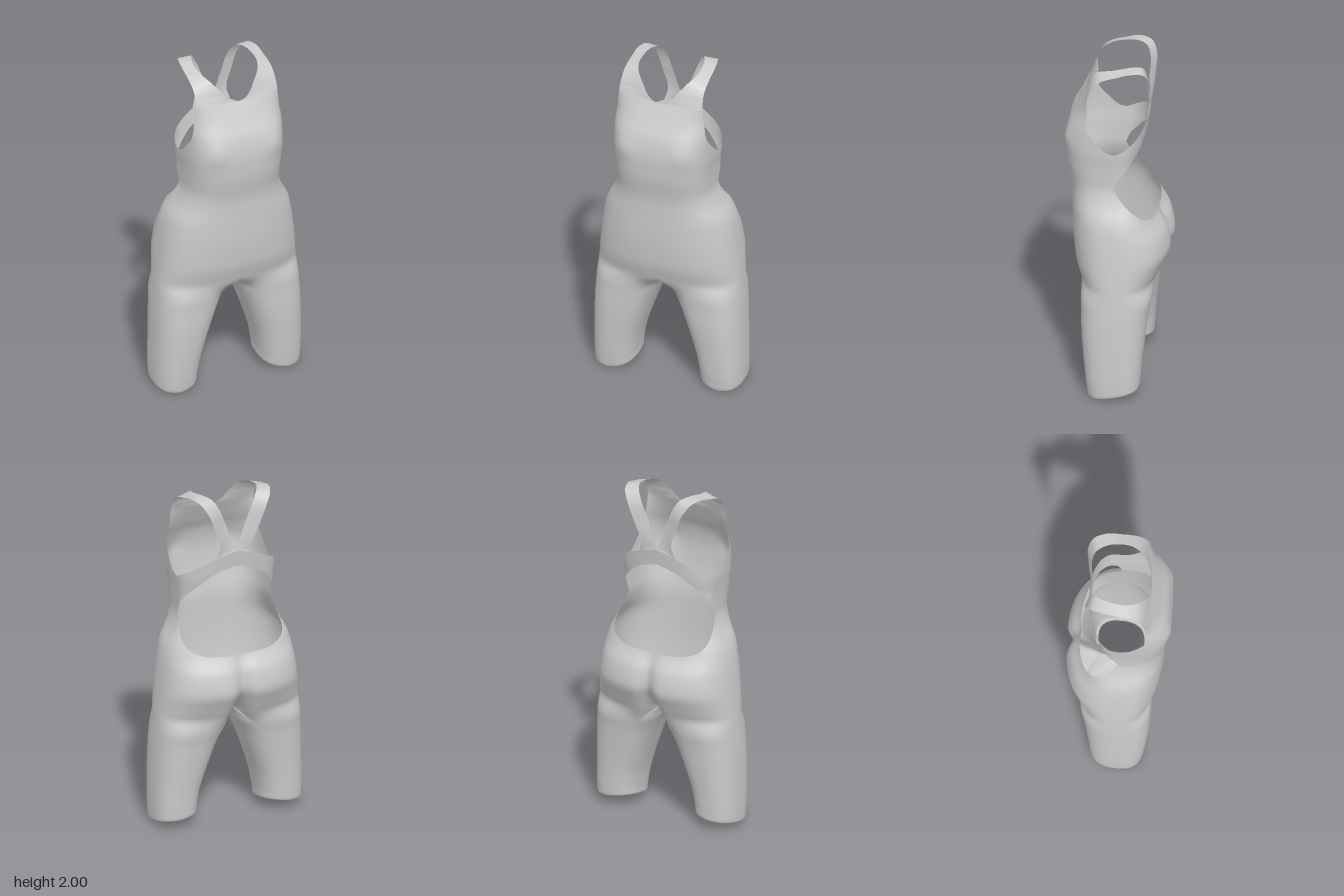
import * as THREE from 'three';
import { mergeVertices } from 'three/addons/utils/BufferGeometryUtils.js';

const { PI, sin, cos, abs, exp, sign } = Math;
const V = (x, y, z) => new THREE.Vector3(x, y, z);
const range = (n, f) => Array.from({ length: n + 1 }, (_, i) => f(i / n));

// Smooth monotone interpolation through [key, value] pairs
function table(...p) {
  const d = p.slice(1).map((q, i) => (q[1] - p[i][1]) / (q[0] - p[i][0]));
  const m = p.map((_, i) => {
    if (i === 0) return d[0];
    if (i === p.length - 1) return d[i - 1];
    return d[i - 1] * d[i] > 0 ? 2 * d[i - 1] * d[i] / (d[i - 1] + d[i]) : 0;
  });
  return (k) => {
    if (k <= p[0][0]) return p[0][1];
    if (k >= p[p.length - 1][0]) return p[p.length - 1][1];
    const i = p.findIndex((q) => q[0] > k) - 1;
    const h = p[i + 1][0] - p[i][0], s = (k - p[i][0]) / h, r = 1 - s;
    return p[i][1] * (1 + 2 * s) * r * r + m[i] * h * s * r * r
      + p[i + 1][1] * s * s * (3 - 2 * s) - m[i + 1] * h * s * s * r;
  };
}

// Torso outline by height: half width, front, back, depth of widest point, cleft, front roundness
const width = table([0.68, 0.428], [0.8, 0.415], [1, 0.387], [1.08, 0.368], [1.2, 0.305], [1.28, 0.284],
  [1.4, 0.286], [1.5, 0.293], [1.65, 0.294], [1.82, 0.28]);
const front = table([0.68, 0.205], [0.8, 0.24], [1, 0.257], [1.2, 0.26], [1.4, 0.29], [1.5, 0.295],
  [1.62, 0.276], [1.7, 0.235], [1.82, 0.175]);
const back = table([0.68, -0.232], [0.75, -0.265], [0.85, -0.302], [0.95, -0.285], [1.05, -0.228], [1.14, -0.195],
  [1.28, -0.14], [1.4, -0.135], [1.5, -0.152], [1.66, -0.172]);
const middle = table([0.68, -0.01], [1.2, 0], [1.5, 0], [1.7, 0.02], [1.82, 0.12]);
const cleft = table([0.68, 0.12], [0.75, 0.07], [0.85, 0.04], [1, 0.022], [1.08, 0]);
const roundness = table([0.68, 0.82], [1, 0.82], [1.28, 0.68], [1.5, 0.61], [1.82, 0.62]);

// Point on the half torso: t runs from front centre (0) by the side (0.5) to back centre (1)
function torso(t, y) {
  const a = PI * t, e = t < 0.5 ? roundness(y) : 0.78, c = middle(y);
  const x = width(y) * abs(sin(a)) ** e;
  const reach = abs(cos(a)) ** e;
  let z = t < 0.5 ? c + (front(y) - c) * reach : c + (back(y) - c) * reach;
  if (t > 0.5) z += cleft(y) * exp(-((x / 0.05) ** 2));
  else z += 0.014 * exp(-(((x - 0.18) / 0.06) ** 2) - ((y - 1.55) / 0.06) ** 2);
  return V(t === 0 || t === 1 ? 0 : x, y, z);
}

// Edges of the openings
const WAIST = 1.28, CROTCH = 0.68, NECK = 1.815, ARM = 0.33;
const armFront = new THREE.SplineCurve([[ARM, NECK], [0.333, 1.755], [0.347, 1.69], [0.385, 1.625], [0.44, 1.57],
  [0.48, 1.52], [0.5, 1.5]].map((p) => new THREE.Vector2(...p)));
const armBack = table([0.5, 1.5], [0.6, 1.53], [0.7, 1.56], [0.8, 1.592], [0.9, 1.63], [1, 1.665]);
const holeLow = table([0.5, WAIST], [0.524, 1.24], [0.56, 1.205], [0.64, 1.15], [0.77, 1.085], [0.88, 1.058], [1, 1.05]);
const holeHigh = table([0.5, WAIST], [0.525, 1.33], [0.64, 1.395], [0.8, 1.477], [0.9, 1.535], [1, 1.57]);

// Shared columns as [t, upper edge]
const frontCols = [...range(14, (u) => [u * ARM, NECK]), ...range(18, (u) => {
  const p = armFront.getPoint(u);
  return [p.x, p.y];
}).slice(1)];
const backCols = range(30, (u) => [u === 1 ? 1 : 0.5 + 0.5 * sin(u * PI / 2), 0]);
const allT = [...frontCols, ...backCols.slice(1)].map((c) => c[0]);

// Column of torso points between two heights
const column = (t, y0, y1, n) => range(n, (v) => torso(t, y0 + (y1 - y0) * v));

const lowerTorso = () => allT.map((t) => column(t, CROTCH, t <= 0.5 ? WAIST : holeLow(t), 22));
const chest = () => frontCols.map(([t, top]) => column(t, WAIST, top, 18));
const backBand = () => backCols.map(([t]) => column(t, holeHigh(t), armBack(t), 18));

// Leg outline by height
const legRings = [ // y, inner x, outer x, front z, back z
  [0.035, 0.212, 0.432, 0.12, -0.138], [0.03, 0.2, 0.445, 0.133, -0.15], [0.08, 0.195, 0.45, 0.145, -0.157],
  [0.2, 0.175, 0.45, 0.16, -0.165], [0.4, 0.115, 0.445, 0.18, -0.185], [0.52, 0.068, 0.44, 0.184, -0.2],
  [0.6, 0.025, 0.434, 0.188, -0.214]];
function leg() {
  const open = 0.7, inner = 18;
  const rounded = (v) => sign(v) * abs(v) ** 0.8;
  const legColumn = (phi, top) => {
    const pts = legRings.map(([y, x0, x1, z0, z1]) => {
      const x = (x0 + x1) / 2 + (x1 - x0) / 2 * rounded(sin(phi));
      const z = (z0 + z1) / 2 + (z0 - z1) / 2 * rounded(cos(phi));
      // the hem slants up to the back and the inside
      const slant = Math.max(0, 1 - y / 0.35);
      return V(x, y + slant * (-0.23 * z + 0.22 * Math.max(0, 0.33 - x)), z);
    });
    return new THREE.CatmullRomCurve3([...pts, top]).getPoints(28);
  };
  const outerSide = allT.map((t) => legColumn(-open + t * (PI + 2 * open), torso(t, CROTCH)));
  const f = torso(0, CROTCH).z, b = torso(1, CROTCH).z;
  const innerSide = range(inner, (s) => legColumn(PI + open + s * (PI - 2 * open),
    V(0, CROTCH - 0.07 * (s % 1 ? sin(PI * s) : 0), b + (f - b) * s)));
  return [...outerSide, ...innerSide.slice(1)];
}

// Strap from the neckline over the shoulder to the middle of the back
function strap() {
  const curve = (pts) => new THREE.CatmullRomCurve3(pts.map((p) => (p.isVector3 ? p : V(...p))));
  const innerEdge = curve([torso(0, NECK), [0.042, 1.825, 0.174], [0.078, 1.857, 0.166], [0.11, 1.902, 0.148],
    [0.15, 1.948, 0.115], [0.175, 1.972, 0.06], [0.18, 1.985, 0], [0.165, 1.998, -0.08], [0.132, 1.985, -0.14],
    [0.1, 1.93, -0.162], [0.06, 1.83, -0.16], [0.025, 1.73, -0.163], torso(1, armBack(1))]);
  const outerEdge = curve([torso(ARM, NECK), [0.255, 1.84, 0.152], [0.253, 1.868, 0.143], [0.251, 1.895, 0.13],
    [0.251, 1.928, 0.1], [0.25, 1.954, 0.05], [0.247, 1.968, 0], [0.24, 1.99, -0.08], [0.215, 1.98, -0.155],
    [0.178, 1.92, -0.188], [0.135, 1.81, -0.185], [0.1, 1.71, -0.175], torso(0.9, armBack(0.9))]);
  const n = 66;
  return range(14, (u) => range(n, (v) => {
    const p = innerEdge.getPoint(v).lerp(outerEdge.getPoint(v), u);
    // ends follow the chest and the back band
    const fade = Math.max(0, 1 - v * 6);
    const onChest = torso(u * ARM, NECK);
    const chord = torso(0, NECK).lerp(torso(ARM, NECK), u);
    p.addScaledVector(onChest.sub(chord), fade);
    if (v === 1) p.copy(torso(1 - 0.1 * u, armBack(1 - 0.1 * u)));
    return p;
  }));
}

export function createModel() {
  const group = new THREE.Group();
  group.name = 'bodysuit';
  const positions = [], index = [], parts = [];

  // Adds a grid of columns as one named part, mirrored for the right half
  function addPart(name, cols, mirror) {
    const base = positions.length / 3, rows = cols[0].length, start = index.length;
    cols.flat().forEach((p) => positions.push(mirror ? -p.x : p.x, p.y, p.z));
    for (let i = 0; i < cols.length - 1; i++) {
      for (let j = 0; j < rows - 1; j++) {
        const a = base + i * rows + j, b = a + rows;
        if (mirror) index.push(a, a + 1, b, b, a + 1, b + 1);
        else index.push(a, b, a + 1, b, b + 1, a + 1);
      }
    }
    parts.push({ name, start, end: index.length });
  }
  const grids = { Leg: leg(), LowerTorso: lowerTorso(), Chest: chest(), BackBand: backBand(), ShoulderStrap: strap() };
  for (const [name, cols] of Object.entries(grids)) {
    addPart('left' + name, cols, false);
    addPart('right' + name, cols, true);
  }

  // Weld everything so the shading runs smoothly across the seams
  let whole = new THREE.BufferGeometry();
  whole.setAttribute('position', new THREE.Float32BufferAttribute(positions, 3));
  whole.setIndex(index);
  whole = mergeVertices(whole, 1e-4);
  whole.computeVertexNormals();
  const welded = Array.from(whole.index.array);

  const material = new THREE.MeshStandardMaterial({ color: 0xcccccc, side: THREE.DoubleSide });
  for (const { name, start, end } of parts) {
    const piece = whole.clone();
    piece.setIndex(welded.slice(start, end));
    const mesh = new THREE.Mesh(piece.toNonIndexed(), material);
    mesh.name = name;
    group.add(mesh);
  }
  return group;
}
